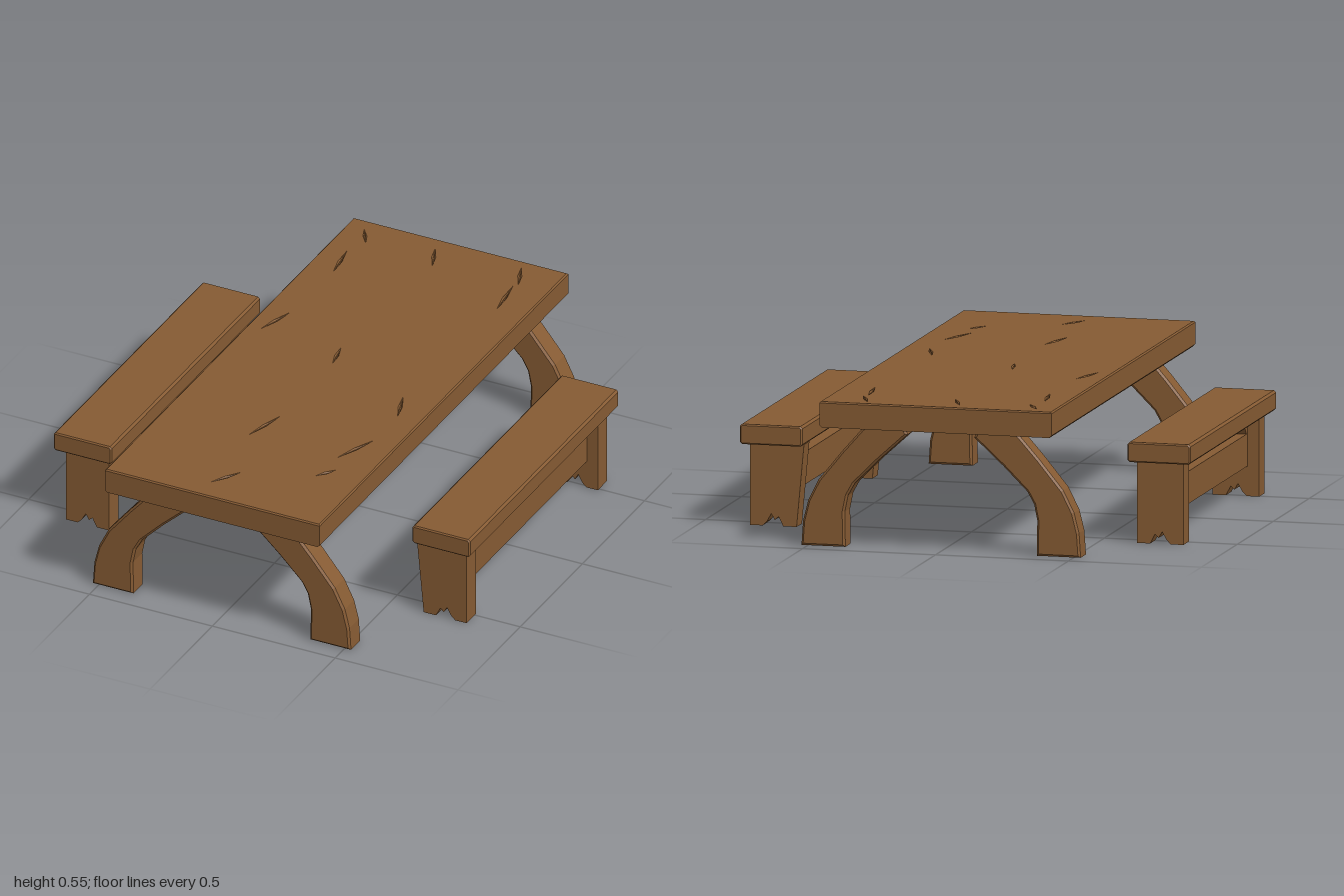
import * as THREE from 'three';

const wood = new THREE.MeshStandardMaterial({ color: 0x865b33 });
wood.name = 'brown wood';

function shapeOf(points) {
  return new THREE.Shape(points.map(([x, y]) => new THREE.Vector2(x, y)));
}

// Extrudes an outline along its normal from a to b, keeping the bevel inside it
function prism(shape, a, b, bevel = 0) {
  const geo = new THREE.ExtrudeGeometry(shape, {
    depth: b - a - 2 * bevel, bevelEnabled: bevel > 0, bevelThickness: bevel,
    bevelSize: bevel, bevelOffset: -bevel, bevelSegments: 1, steps: 1,
  });
  return geo.translate(0, 0, a + bevel);
}

function add(parent, name, geo) {
  const mesh = new THREE.Mesh(geo, wood);
  mesh.name = name;
  parent.add(mesh);
  return mesh;
}

// Cross-section of a slab with clipped corners
function slabSection(x0, x1, y0, y1, c) {
  return shapeOf([[x0 + c, y0], [x1 - c, y0], [x1, y0 + c], [x1, y1 - c],
    [x1 - c, y1], [x0 + c, y1], [x0, y1 - c], [x0, y0 + c]]);
}

function buildTable() {
  const table = new THREE.Group();
  table.name = 'table';

  // Thick top with a thin upper layer that carries the carved cracks
  add(table, 'tableTop', prism(slabSection(-0.437, 0.437, 0.45, 0.537, 0.009), -1, 1));
  const plan = shapeOf([[-0.437, -1], [0.437, -1], [0.437, 1], [-0.437, 1]]);
  // x, z, length, slant of each crack
  const cracks = [
    [-0.34, -0.9, 0.07, 0.02], [-0.34, -0.7, 0.14, 0.01], [-0.05, -0.88, 0.1, 0.02],
    [0.29, -0.9, 0.1, 0.02], [0.31, -0.74, 0.16, 0.01], [-0.36, -0.22, 0.14, -0.02],
    [-0.05, -0.1, 0.1, 0.01], [-0.06, 0.46, 0.16, -0.02], [0.32, 0.12, 0.12, 0.02],
    [0.31, 0.46, 0.16, -0.03], [-0.02, 0.85, 0.1, -0.03], [0.29, 0.66, 0.06, -0.02],
  ];
  for (const [x, z, len, slant] of cracks) {
    const h = len / 2;
    plan.holes.push(new THREE.Path([[x + slant, -z - h], [x + 0.003, -z], [x - slant, -z + h],
      [x - 0.003, -z]].map(([a, b]) => new THREE.Vector2(a, b))));
  }
  add(table, 'crackedSurface', prism(plan, 0.517, 0.545, 0.005).rotateX(-Math.PI / 2));

  // Curved legs, bowing outward to the floor
  const half = [[0.36, 0], [0.525, 0], [0.519, 0.09], [0.5, 0.165], [0.46, 0.245], [0.37, 0.355],
    [0.295, 0.44], [0.27, 0.455], [0.14, 0.455], [0.125, 0.425], [0.235, 0.325], [0.325, 0.235],
    [0.35, 0.19], [0.362, 0.13]];
  for (const side of [1, -1]) {
    const outline = shapeOf(half.map(([x, y]) => [x * side, y]));
    for (const z of [0.84, -0.93]) {
      add(table, side > 0 ? 'leftTableLeg' : 'rightTableLeg', prism(outline, z, z + 0.09, 0.008));
    }
  }
  return table;
}

function buildBench(side) {
  const bench = new THREE.Group();
  bench.name = side > 0 ? 'leftBench' : 'rightBench';

  const [s0, s1] = side > 0 ? [0.61, 0.845] : [-0.85, -0.613];
  add(bench, 'seat', prism(slabSection(s0, s1, 0.302, 0.376, 0.008), -0.6, 0.6, 0.005));

  // End boards with a ragged notch at the foot
  const inner = side > 0 ? 0.612 : 0.64;
  const leg = shapeOf([[inner, 0.305], [0.64, 0], [0.69, 0], [0.708, 0.035], [0.722, 0.022],
    [0.735, 0.045], [0.752, 0.015], [0.768, 0], [0.815, 0], [0.815, 0.305]]
    .map(([x, y]) => [x * side, y]));
  for (const z of [0.49, -0.565]) add(bench, 'benchLeg', prism(leg, z, z + 0.075));

  // Long stretcher between the end boards
  const rail = new THREE.BoxGeometry(0.09, 0.12, 1.0);
  add(bench, 'stretcher', rail.translate(side * 0.725, 0.17, 0));

  // Corner braces, drawn in the z-y plane, on the right bench only
  if (side < 0) {
    const braces = [
      [[0.5, 0.22], [0.482, 0.225], [0.42, 0.305], [0.5, 0.305]],
      [[-0.5, 0.065], [-0.5, 0.12], [-0.34, 0.12], [-0.34, 0.11]],
    ];
    for (const b of braces) {
      const geo = prism(shapeOf(b.map(([z, y]) => [-z, y])), -0.045, 0.045);
      add(bench, 'brace', geo.rotateY(Math.PI / 2).translate(-0.725, 0, 0));
    }
  }
  return bench;
}

export function createModel() {
  const model = new THREE.Group();
  model.name = 'picnicTableWithBenches';
  model.add(buildTable(), buildBench(1), buildBench(-1));
  return model;
}
